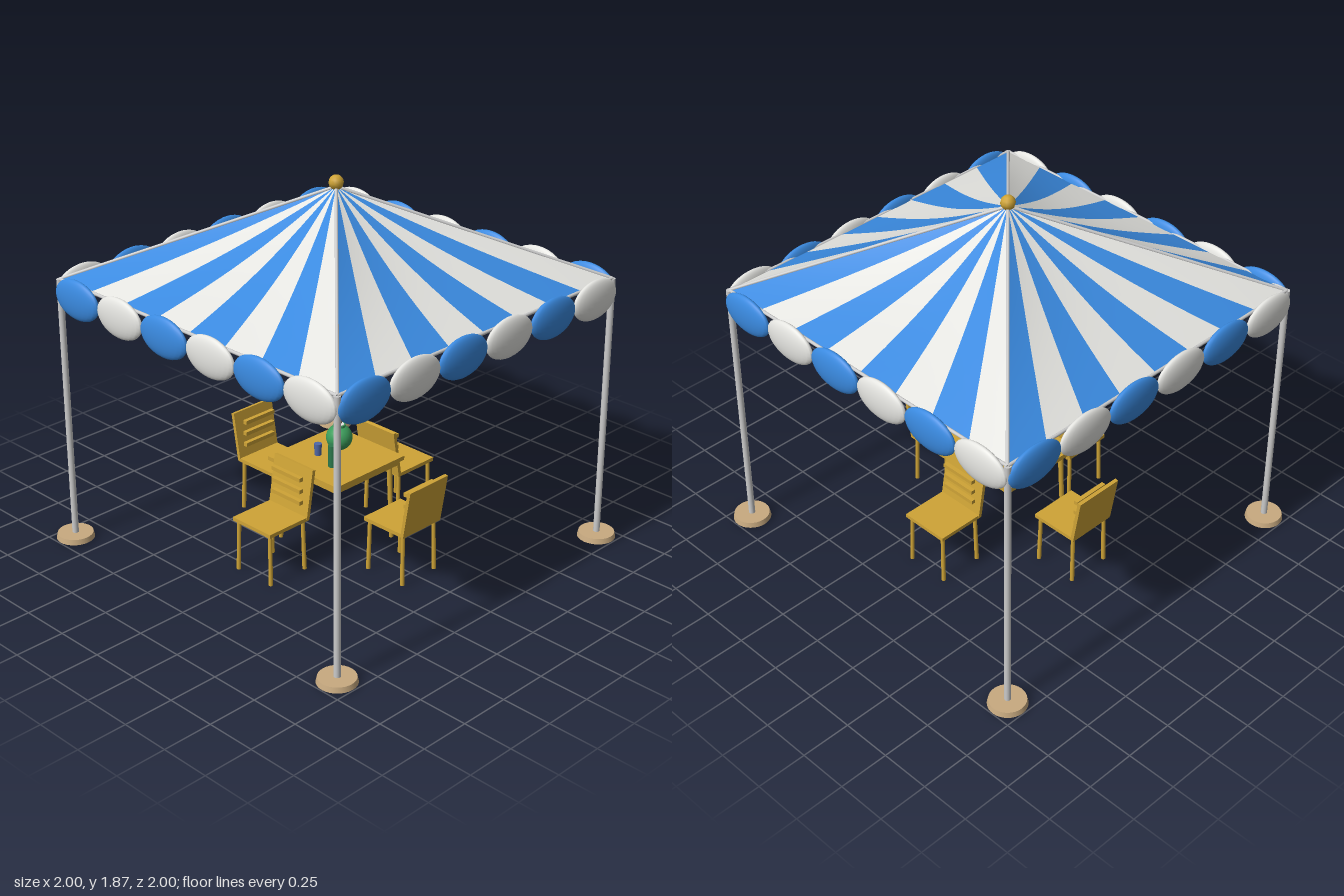
import * as THREE from 'three';

const paint = (name, color, side = THREE.FrontSide) => {
  const m = new THREE.MeshStandardMaterial({ color, side });
  m.name = name;
  return m;
};

export function createModel() {
  const root = new THREE.Group();
  root.name = 'gardenPavilion';
  const blue = paint('canopyBlue', 0x3a8ae0, THREE.DoubleSide);
  const white = paint('canopyWhite', 0xe4e4e0, THREE.DoubleSide);
  const metal = paint('poleGrey', 0xcccccc);
  const tan = paint('baseTan', 0xc8aa80);
  const gold = paint('goldenWood', 0xcfa436);
  const green = paint('melonGreen', 0x3c9e5c);
  const darkGreen = paint('bottleGreen', 0x2c7a4c);
  const slate = paint('cupBlue', 0x5068a8);
  const brown = paint('strawBrown', 0x8a6a5c);

  const add = (parent, name, geo, mat, x = 0, y = 0, z = 0) => {
    const m = new THREE.Mesh(geo, mat);
    m.name = name;
    m.position.set(x, y, z);
    parent.add(m);
    return m;
  };
  const group = (parent, name) => {
    const g = new THREE.Group();
    g.name = name;
    parent.add(g);
    return g;
  };
  // Round bar between two points
  const bar = (parent, name, a, b, r0, r1, mat) => {
    const p = new THREE.Vector3(...a), q = new THREE.Vector3(...b);
    const d = q.clone().sub(p);
    const m = add(parent, name, new THREE.CylinderGeometry(r1, r0, d.length(), 12), mat);
    m.position.copy(p).add(q).multiplyScalar(0.5);
    m.quaternion.setFromUnitVectors(new THREE.Vector3(0, 1, 0), d.normalize());
  };

  const P = 0.906, EAVE = 1.365, PEAK = 1.815, STRIPES = 8, LOBES = 6;

  // One tapering stripe of a gently sagging roof panel
  const stripe = (i) => {
    const g = new THREE.PlaneGeometry(1, 1, 4, 12);
    const p = g.attributes.position;
    for (let k = 0; k < p.count; k++) {
      const s = -1 + (2 * (i + p.getX(k) + 0.5)) / STRIPES;
      const t = Math.max(0.5 - p.getY(k), 0.004);
      const sag = 0.035 * Math.sin(Math.PI * t) * (1 - s * s);
      p.setXYZ(k, s * P * t, PEAK + (EAVE - PEAK) * t - sag, P * t);
    }
    g.computeVertexNormals();
    return g;
  };

  // Four identical sides: roof panel, scalloped edge, frame bars, corner pole
  for (let q = 0; q < 4; q++) {
    const side = group(root, 'pavilionSide');
    side.rotation.y = (q * Math.PI) / 2;
    for (let i = 0; i < STRIPES; i++) add(side, 'roofStripe', stripe(i), i % 2 ? white : blue);
    for (let i = 0; i < LOBES; i++) {
      const lobe = add(side, 'valanceLobe', new THREE.SphereGeometry(1, 24, 16), i % 2 ? white : blue,
        (i - 2.5) * 0.305, 1.303, 0.92);
      lobe.scale.set(0.154, 0.098, 0.033);
    }
    bar(side, 'eaveBar', [-P, EAVE, P], [P, EAVE, P], 0.008, 0.008, metal);
    bar(side, 'ridgeBar', [P, EAVE, P], [0, PEAK, 0], 0.008, 0.008, metal);
    bar(side, 'cornerPole', [P, 0.01, P], [P, EAVE, P], 0.016, 0.016, metal);
    add(side, 'poleBase', new THREE.CylinderGeometry(0.088, 0.094, 0.026, 32), tan, P, 0.018, P);
  }
  add(root, 'finial', new THREE.SphereGeometry(0.036, 10, 6), gold, 0, 1.835, 0);

  // Table
  const table = group(root, 'table');
  add(table, 'tableTop', new THREE.BoxGeometry(0.466, 0.021, 0.466), gold, 0, 0.434, 0);
  add(table, 'tableApron', new THREE.BoxGeometry(0.42, 0.032, 0.42), gold, 0, 0.408, 0);
  for (const x of [-1, 1]) for (const z of [-1, 1]) {
    bar(table, 'tableLeg', [x * 0.192, 0, z * 0.192], [x * 0.182, 0.4, z * 0.182], 0.011, 0.014, gold);
  }

  // Chairs: one pair faces the table, the other pair faces outward
  for (const [x, z, turn] of [[0, 0.437, Math.PI], [0, -0.437, 0], [0.437, 0, Math.PI / 2], [-0.437, 0, -Math.PI / 2]]) {
    const chair = group(root, 'chair');
    chair.position.set(x, 0, z);
    chair.rotation.y = turn;
    add(chair, 'seat', new THREE.BoxGeometry(0.254, 0.019, 0.254), gold, 0, 0.27, 0);
    const back = add(chair, 'backPanel', new THREE.BoxGeometry(0.258, 0.25, 0.018), gold, 0, 0.39, -0.14);
    back.rotation.x = -0.165;
    for (const y of [0.348, 0.409, 0.47]) {
      add(chair, 'backSlat', new THREE.BoxGeometry(0.192, 0.02, 0.022), gold, 0, y, -0.108);
    }
    for (const sx of [-1, 1]) for (const sz of [-1, 1]) {
      bar(chair, 'chairLeg', [sx * 0.111, 0, sz * 0.111], [sx * 0.106, 0.265, sz * 0.106], 0.011, 0.01, gold);
    }
  }

  // Things on the table
  add(root, 'bottle', new THREE.CylinderGeometry(0.02, 0.02, 0.112, 16), darkGreen, -0.09, 0.5, 0.064);
  add(root, 'cup', new THREE.CylinderGeometry(0.019, 0.017, 0.06, 16), slate, -0.051, 0.474, -0.073);
  const drink = group(root, 'melonDrink');
  drink.position.set(0.07, 0.444, -0.048);
  add(drink, 'melon', new THREE.SphereGeometry(0.065, 24, 16), green, 0, 0.062, 0);
  add(drink, 'melonRim', new THREE.CylinderGeometry(0.03, 0.03, 0.014, 20), green, 0, 0.124, 0);
  add(drink, 'melonFlesh', new THREE.CylinderGeometry(0.024, 0.024, 0.004, 20), white, 0, 0.131, 0);
  bar(drink, 'straw', [0.003, 0.11, 0], [0.024, 0.223, 0.011], 0.005, 0.005, brown);

  return root;
}
